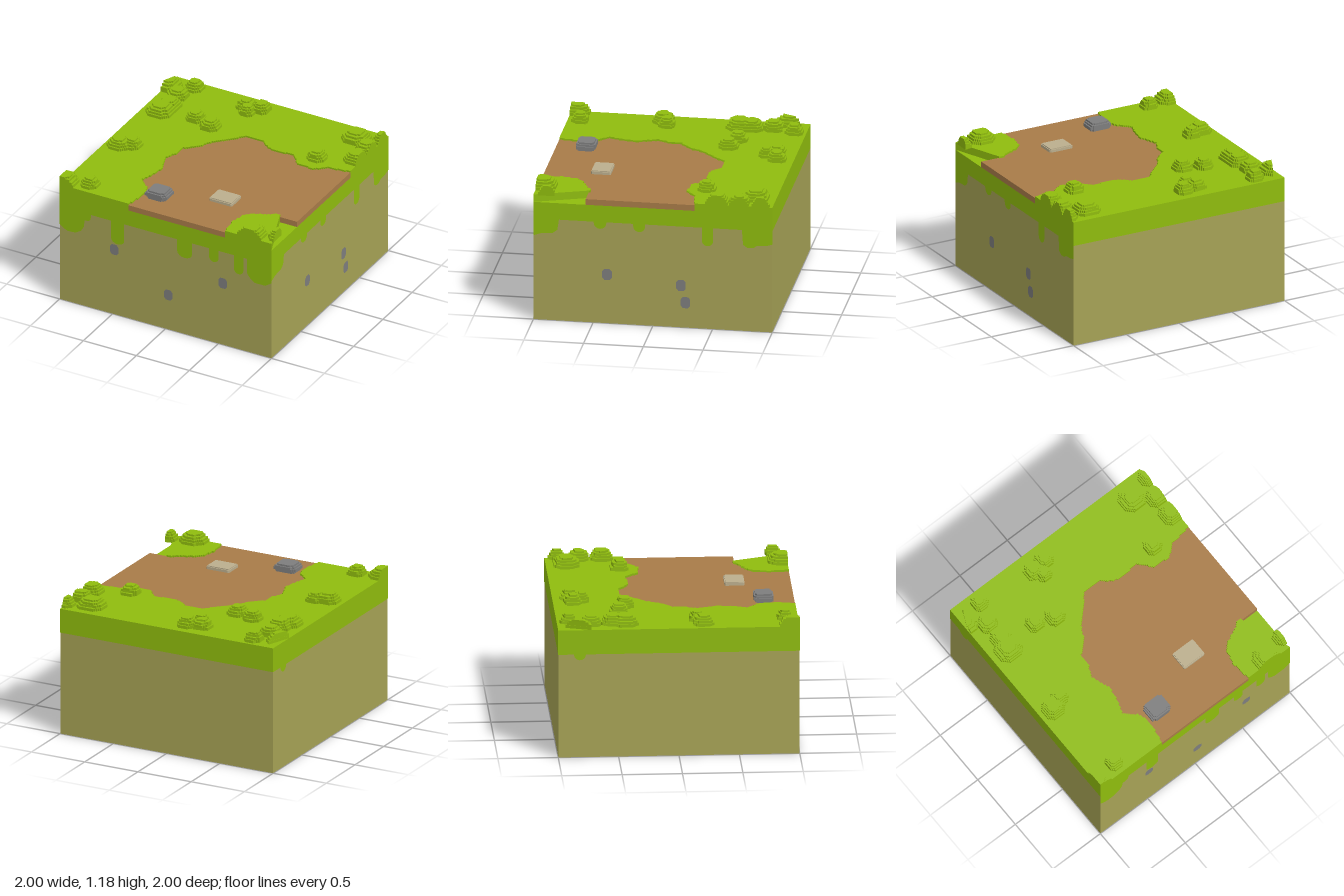
import * as THREE from 'three';

const mat = (name, color) => Object.assign(new THREE.MeshStandardMaterial({ color }), { name });

// Turn a closed outline into a stair-stepped one on a small grid
function stepped(points, s = 0.0125) {
  const snap = v => Math.max(-1, Math.min(1, Math.round(v / s) * s));
  const out = [];
  const push = (x, z) => {
    const l = out[out.length - 1];
    if (!l || Math.hypot(l[0] - x, l[1] - z) > 1e-6) out.push([x, z]);
  };
  points.forEach(([ax, az], i) => {
    const [bx, bz] = points[(i + 1) % points.length];
    const n = Math.ceil(Math.hypot(bx - ax, bz - az) / (s * 0.7)) || 1;
    for (let k = 0; k < n; k++) {
      const x = snap(ax + (bx - ax) * k / n), z = snap(az + (bz - az) * k / n);
      const l = out[out.length - 1];
      if (l && Math.abs(l[0] - x) > 1e-6 && Math.abs(l[1] - z) > 1e-6) push(x, l[1]);
      push(x, z);
    }
  });
  // Drop points along straight runs
  return out.filter((p, i) => {
    const a = out[(i + out.length - 1) % out.length], b = out[(i + 1) % out.length];
    return Math.abs((p[0] - a[0]) * (b[1] - p[1]) - (p[1] - a[1]) * (b[0] - p[0])) > 1e-9;
  });
}

// Flat slab with an x/z outline between two heights
function slab(outline, y0, y1) {
  const shape = new THREE.Shape(outline.map(([x, z]) => new THREE.Vector2(x, -z)));
  const g = new THREE.ExtrudeGeometry(shape, { depth: y1 - y0, bevelEnabled: false });
  return g.rotateX(-Math.PI / 2).translate(0, y0, 0);
}

// Chamfered rectangle
function octagon(x, z, rx, rz, k = 0.5) {
  const a = rx * k, b = rz * k;
  return [[-a, -rz], [a, -rz], [rx, -b], [rx, b], [a, rz], [-a, rz], [-rx, b], [-rx, -b]]
    .map(([u, v]) => [x + u, z + v]);
}

export function createModel() {
  const root = new THREE.Group();
  const grass = mat('grass green', 0x8fbc0d);
  const earth = mat('path brown', 0xa87b48);
  const soil = mat('soil olive', 0xa6a255);
  const stone = mat('stone grey', 0x7d7d7d);
  const plank = mat('pale stone', 0xbbae8d);
  const add = (name, geo, m, parent = root) => {
    const mesh = new THREE.Mesh(geo, m);
    mesh.name = name;
    parent.add(mesh);
    return mesh;
  };
  const group = name => {
    const g = new THREE.Group();
    g.name = name;
    root.add(g);
    return g;
  };

  // Ground block and turf band
  add('soilBlock', new THREE.BoxGeometry(1.996, 0.89, 1.996).translate(0, 0.445, 0), soil);
  add('turfBand', new THREE.BoxGeometry(2, 0.145, 2).translate(0, 0.9625, 0), grass);

  // Top surface: path edge, main lawn and corner lawn
  const edge = [[-.35, 1], [-.33, .88], [-.32, .77], [-.35, .68], [-.45, .6], [-.41, .48], [-.39, .35],
    [-.45, .18], [-.40, .08], [-.40, -.02], [-.30, -.10], [-.24, -.22], [-.12, -.34], [-.03, -.44],
    [.12, -.44], [.22, -.36], [.3, -.345], [.45, -.365], [.56, -.25], [.71, -.24], [.8, -.32], [1, -.35]];
  const corner = [[1, .56], [.8, .555], [.75, .59], [.62, .65], [.57, .7], [.54, .83], [.56, 1]];
  add('path', slab(stepped([...edge, ...corner]), 1.035, 1.085), earth);
  add('lawn', slab(stepped([...edge, [1, -1], [-1, -1], [-1, 1]]), 1.035, 1.1), grass);
  add('cornerLawn', slab(stepped([...corner, [1, 1]]), 1.035, 1.1), grass);

  // Bushes as stacked, shrinking layers: x, z, radius
  const bushes = group('bushes');
  const layers = [[1, 0.025], [0.9, 0.045], [0.76, 0.065], [0.55, 0.08]];
  [[-.99, -.83, .11], [-.77, -.9, .07], [-.83, -.72, .085], [-.82, -.54, .095], [-.835, -.435, .11],
    [-.525, -.47, .075], [-.355, -.415, .08], [-.25, -.84, .075], [-.12, -.86, .075], [-.2, -.76, .06],
    [.79, -.83, .11], [1, -.9, .07], [.95, -.72, .085], [.955, -.53, .095], [.66, -.4, .075],
    [-.87, .21, .09], [-.77, .165, .07], [-.99, .95, .11], [-.77, .89, .07], [.79, .95, .11], [1, .89, .07],
  ].forEach(([x, z, r]) => {
    let y = 1.095;
    for (const [k, h] of layers) {
      add('bushLayer', slab(stepped(octagon(x, z, r * k, r * k)), y, 1.1 + h), grass, bushes);
      y = 1.1 + h;
    }
  });

  // Rock and flat slab lying on the path
  const rock = group('rock');
  [[.085, .075, 1.08, 1.1], [.095, .083, 1.1, 1.125], [.088, .077, 1.125, 1.14], [.075, .065, 1.14, 1.155]]
    .forEach(([rx, rz, y0, y1]) => add('rockLayer', slab(stepped(octagon(-.2, .745, rx, rz, .72)), y0, y1), stone, rock));
  add('flatStone', slab(octagon(.303, .53, .108, .083, .9), 1.08, 1.107), plank);
  add('flatStoneTop', slab(octagon(.303, .53, .1, .075, .95), 1.107, 1.115), plank);

  // Thin side details in face coordinates; each face is a rotated frame
  const faces = ['front', 'right', 'back', 'left'].map((n, i) => {
    const g = group(n + 'Details');
    g.rotation.y = i * Math.PI / 2;
    return g;
  });
  const plate = (face, name, pts, m) => {
    const shape = new THREE.Shape(pts.map(p => new THREE.Vector2(...p)));
    add(name, new THREE.ShapeGeometry(shape).translate(0, 0, 1), m, faces[face]);
  };
  // Hanging turf with a rounded end
  const drip = (face, u0, u1, bottom) => {
    const c = (u0 + u1) / 2, r = (u1 - u0) / 2, h = Math.min(r, 0.05), pts = [[u1, 0.9], [u0, 0.9]];
    for (let i = 0; i <= 8; i++) {
      const a = Math.PI * (1 + i / 8);
      pts.push([c + r * Math.cos(a), bottom + h + h * Math.sin(a)]);
    }
    plate(face, 'turfDrip', pts, grass);
  };
  const wide = (face, pts) => plate(face, 'cornerTurfDrip', pts, grass);

  wide(0, [[-1, .9], [-1, .72], [-.96, .69], [-.92, .675], [-.85, .68], [-.8, .71], [-.77, .76], [-.765, .82],
    [-.73, .825], [-.71, .84], [-.7, .9]]);
  wide(0, [[.77, .9], [.77, .75], [.8, .71], [.84, .68], [.94, .68], [1, .72], [1, .9]]);
  [[-.515, -.39, .68], [.11, .25, .73], [.41, .5, .77], [.645, .735, .72]].forEach(d => drip(0, ...d));

  wide(1, [[-1, .9], [-1, .74], [-.93, .765], [-.84, .77], [-.8, .8], [-.785, .9]]);
  wide(1, [[.745, .9], [.755, .76], [.79, .735], [.84, .735], [.87, .755], [.95, .76], [1, .775], [1, .9]]);
  [[-.495, -.39, .83], [-.165, -.065, .82], [.41, .505, .73]].forEach(d => drip(1, ...d));
  drip(3, -.87, -.77, .84);

  // Embedded pebbles
  [[0, -.485, .62], [0, .025, .33], [0, .54, .59], [1, -.384, .43], [1, .235, .37], [1, .273, .22]]
    .forEach(([f, u, y]) => plate(f, 'pebble', octagon(u, y, .04, .049, .55), stone));

  return root;
}
